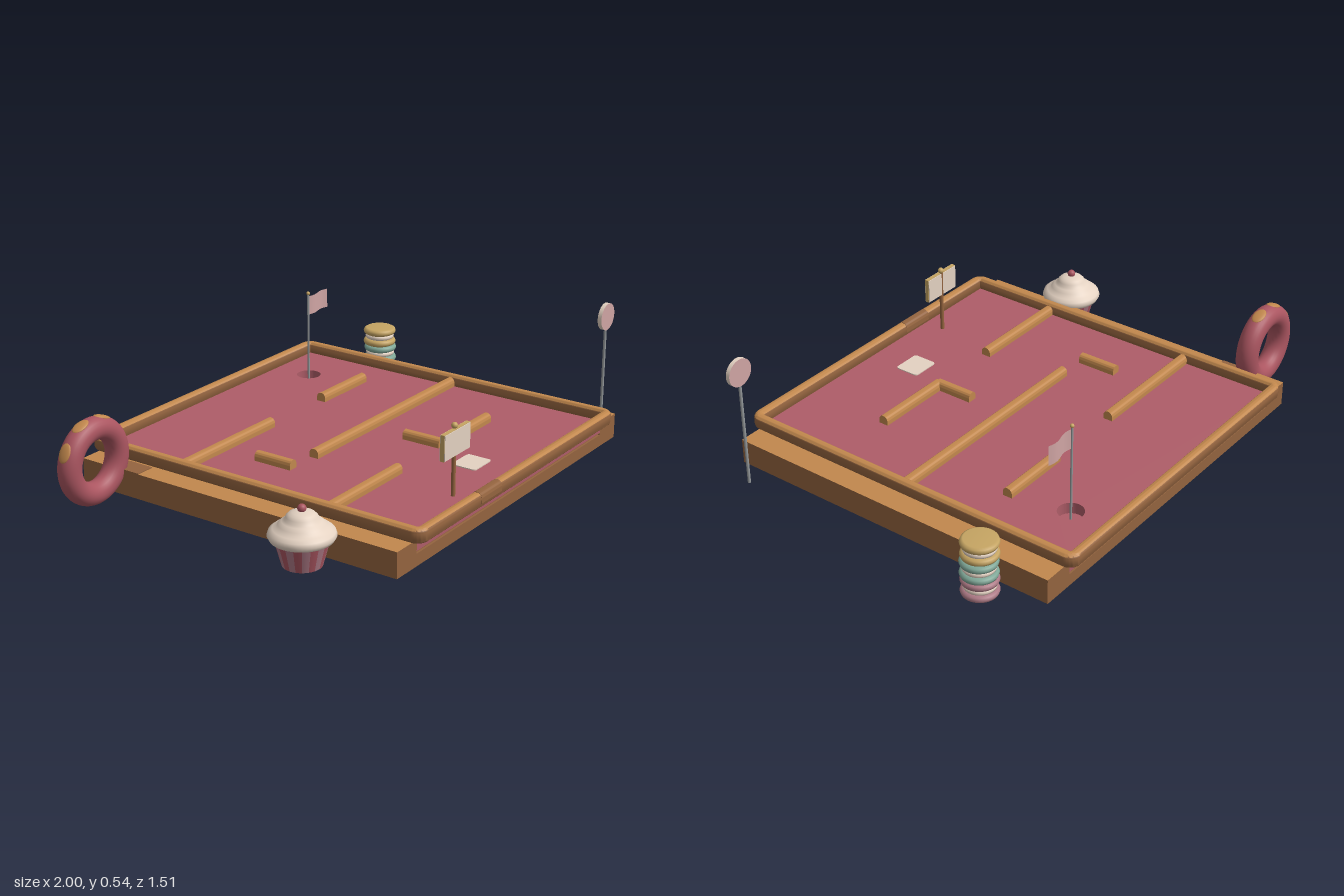
import * as THREE from 'three';
import { toCreasedNormals } from 'three/addons/utils/BufferGeometryUtils.js';

const mat = (name, color, side = THREE.FrontSide) => {
  const m = new THREE.MeshStandardMaterial({ color, side });
  m.name = name;
  return m;
};

// Rounded rectangle outline, centred on the origin
function roundRect(T, hw, hh, r) {
  const s = new T();
  s.moveTo(-hw + r, -hh);
  s.absarc(hw - r, -hh + r, r, -Math.PI / 2, 0);
  s.absarc(hw - r, hh - r, r, 0, Math.PI / 2);
  s.absarc(-hw + r, hh - r, r, Math.PI / 2, Math.PI);
  s.absarc(-hw + r, -hh + r, r, Math.PI, Math.PI * 1.5);
  return s;
}

// Geometry groups: 0 for faces that look up, 1 for the others
function splitByTop(geo, limit) {
  const n = geo.attributes.normal;
  geo.clearGroups();
  for (let i = 0; i < n.count; i += 3) {
    const up = (n.getY(i) + n.getY(i + 1) + n.getY(i + 2)) / 3 > limit ? 0 : 1;
    const last = geo.groups[geo.groups.length - 1];
    if (last && last.materialIndex === up) last.count += 3;
    else geo.addGroup(i, 3, up);
  }
  return geo;
}

export function createModel() {
  const wood = mat('wood', 0xc2884d);
  const darkWood = mat('dark wood', 0x94643f);
  const pink = mat('pink', 0xae5d68);
  const rose = mat('rose', 0xaa5560);
  const mauve = mat('mauve', 0xae7a86);
  const cream = mat('cream', 0xe4d2c2);
  const palePink = mat('pale pink', 0xd0a5a4, THREE.DoubleSide);
  const gold = mat('gold', 0xc6a563);
  const teal = mat('teal', 0x80a898);
  const grey = mat('grey', 0x94989a);

  const model = new THREE.Group();
  const group = (name, x = 0, y = 0, z = 0) => {
    const g = new THREE.Group();
    g.name = name;
    g.position.set(x, y, z);
    model.add(g);
    return g;
  };
  const add = (parent, name, geo, material, x = 0, y = 0, z = 0) => {
    const m = new THREE.Mesh(geo, material);
    m.name = name;
    m.position.set(x, y, z);
    parent.add(m);
    return m;
  };
  // Box given by its limits
  const block = (parent, name, material, x0, x1, y0, y1, z0, z1) =>
    add(parent, name, new THREE.BoxGeometry(x1 - x0, y1 - y0, z1 - z0), material,
      (x0 + x1) / 2, (y0 + y1) / 2, (z0 + z1) / 2);
  const pole = (parent, name, material, r, y0, y1) =>
    add(parent, name, new THREE.CylinderGeometry(r, r, y1 - y0, 20), material, 0, (y0 + y1) / 2, 0);
  const lathe = (pts, seg = 40) =>
    new THREE.LatheGeometry(pts.map(p => new THREE.Vector2(...p)), seg);

  // Hollow base, dark on the sides and light on top
  const base = group('base');
  const L = -0.72, R = 0.85, slotL = -0.6, slotR = 0.725, D = 0.71, t = 0.015;
  const plank = [darkWood, darkWood, wood, darkWood, darkWood, darkWood];
  block(base, 'leftWall', plank, L, L + t, 0.01, 0.11, -D, D);
  block(base, 'rightWall', plank, R - t, R, 0.01, 0.11, -D, D);
  block(base, 'leftLedge', plank, L + t, slotL, 0.095, 0.11, -D, D);
  block(base, 'rightLedge', plank, slotR, R - t, 0.095, 0.11, -D, D);
  for (const [name, z] of [['front', D - t], ['back', -D]]) {
    block(base, name + 'Rail', darkWood, slotL, slotR, 0.01, 0.058, z, z + t);
    block(base, name + 'LeftEnd', darkWood, L + t, slotL, 0.01, 0.095, z, z + t);
    block(base, name + 'RightEnd', darkWood, slotR, R - t, 0.01, 0.095, z, z + t);
  }
  block(base, 'underside', darkWood, slotL, slotR, 0.064, 0.068, -D + 0.002, D - 0.002);
  block(base, 'ledgeInlay', darkWood, L, -0.643, 0.11, 0.113, -0.545, -0.435);

  // Playing floor with a cup cut into it
  const course = group('course');
  const holeX = 0.494, holeZ = -0.55, floorY = 0.12;
  const floor = new THREE.Shape([[slotL, -D], [slotR, -D], [slotR, D], [slotL, D]]
    .map(p => new THREE.Vector2(...p)));
  floor.holes.push(new THREE.Path().absarc(holeX, -holeZ, 0.05, 0, Math.PI * 2, true));
  add(course, 'floor', new THREE.ExtrudeGeometry(floor, { depth: floorY - 0.068, bevelEnabled: false, curveSegments: 32 })
    .rotateX(-Math.PI / 2), pink, 0, 0.068, 0);
  add(course, 'cupBottom', new THREE.CircleGeometry(0.05, 32).rotateX(-Math.PI / 2), pink, holeX, 0.075, holeZ);
  const mat2D = new THREE.ExtrudeGeometry(roundRect(THREE.Shape, 0.06, 0.052, 0.012),
    { depth: 0.004, bevelEnabled: false });
  add(course, 'teeMat', mat2D.rotateX(-Math.PI / 2), cream, 0.062, floorY, 0.52);

  // Rounded rim around the floor, light on top and dark on the sides
  const b = 0.018;
  const rim = roundRect(THREE.Shape, 0.702 - b, 0.753 - b, 0.03);
  rim.holes.push(roundRect(THREE.Path, 0.66 + b, 0.711 + b, 0.02));
  const rimGeo = new THREE.ExtrudeGeometry(rim, {
    depth: 0.058 - 2 * b, bevelSize: b, bevelThickness: b, bevelSegments: 6, curveSegments: 8,
  }).rotateX(-Math.PI / 2);
  add(course, 'rim', splitByTop(toCreasedNormals(rimGeo, 0.7), 0.6), [wood, darkWood], 0.063, 0.107 + b, 0);

  // Barrier logs with rounded tops: centre x, centre z, length, runs along z
  const section = new THREE.Shape();
  section.moveTo(-0.02, 0);
  section.lineTo(0.02, 0);
  section.lineTo(0.02, 0.018);
  section.absarc(0, 0.018, 0.02, 0, Math.PI);
  const log = len => toCreasedNormals(
    new THREE.ExtrudeGeometry(section, { depth: len, bevelEnabled: false, curveSegments: 12 })
      .translate(0, 0, -len / 2), 0.7);
  const logs = [
    [-0.335, -0.318, 0.53], [0.411, -0.318, 0.295], [0.245, 0.012, 0.965], [-0.383, 0.345, 0.43],
    [0.297, 0.345, 0.33], [0.13, 0.262, 0.165, true], [-0.367, -0.07, 0.165, true],
  ];
  for (const [x, z, len, alongZ] of logs)
    add(course, 'barrier', log(len), wood, x, floorY - 0.002, z).rotation.y = alongZ ? 0 : Math.PI / 2;

  // Dark sleeve on the front rim
  const sleeve = add(course, 'rimSleeve', log(0.14), darkWood, -0.18, 0.127, 0.732);
  sleeve.rotation.y = Math.PI / 2;
  sleeve.scale.set(1.08, 1.06, 1);

  // Flag standing in the cup
  const flag = group('flag', holeX, 0, holeZ);
  pole(flag, 'flagPole', grey, 0.0045, 0.075, 0.475);
  add(flag, 'flagTip', new THREE.SphereGeometry(0.008, 16, 12), gold, 0, 0.478, 0);
  const cloth = new THREE.PlaneGeometry(0.13, 0.08, 16, 1).translate(0.069, 0.425, 0);
  const cp = cloth.attributes.position;
  for (let i = 0; i < cp.count; i++) cp.setZ(i, 0.006 * Math.sin(cp.getX(i) * 48));
  cloth.computeVertexNormals();
  add(flag, 'flagCloth', cloth, palePink);

  // Sign board
  const sign = group('sign', -0.235, 0, 0.625);
  pole(sign, 'signPost', darkWood, 0.008, 0.062, 0.38);
  block(sign, 'signBoard', gold, -0.086, 0.086, 0.28, 0.38, -0.004, 0.012);
  for (const [z0, z1] of [[0.012, 0.015], [-0.007, -0.004]])
    block(sign, 'signPanel', cream, -0.084, 0.084, 0.282, 0.378, z0, z1);
  add(sign, 'signKnob', new THREE.SphereGeometry(0.012, 16, 12), gold, 0, 0.39, 0);

  // Lollipop
  const lolly = group('lollipop', 0.925, 0, 0.61);
  pole(lolly, 'lollipopStick', grey, 0.006, 0, 0.44);
  add(lolly, 'lollipopCandy', new THREE.CylinderGeometry(0.055, 0.055, 0.017, 48).rotateX(Math.PI / 2),
    [cream, palePink, palePink], 0, 0.48, 0);

  // Ring doughnut with dough showing along its upper edge
  const donut = group('doughnut', -0.83, 0.175, -0.55);
  add(donut, 'icing', new THREE.TorusGeometry(0.125, 0.045, 24, 64), rose);
  for (const degrees of [71, 111, 152]) {
    const a = degrees * Math.PI / 180;
    const spot = add(donut, 'doughSpot', new THREE.SphereGeometry(1, 20, 14), wood,
      Math.cos(a) * 0.164, Math.sin(a) * 0.164, 0);
    spot.scale.set(0.0085, 0.038, 0.025);
    spot.rotation.z = a;
  }

  // Cupcake: striped pleated wrapper, piped frosting and cherry
  const cake = group('cupcake', -0.8, 0, 0.375);
  const n = 20;
  for (let i = 0; i < n; i++) {
    const pleat = new THREE.CylinderGeometry(0.1, 0.072, 0.105, 2, 1, true, i * 2 * Math.PI / n, 2 * Math.PI / n);
    add(cake, 'wrapperPleat', pleat, i % 2 ? mauve : rose, 0, 0.0575, 0);
  }
  add(cake, 'wrapperBottom', new THREE.CircleGeometry(0.072, n).rotateX(Math.PI / 2), mauve, 0, 0.005, 0);
  add(cake, 'frosting', lathe([
    [0, 0.095], [0.095, 0.095], [0.113, 0.102], [0.121, 0.117], [0.116, 0.132], [0.102, 0.143],
    [0.089, 0.148], [0.083, 0.158], [0.07, 0.169], [0.06, 0.174], [0.056, 0.186], [0.046, 0.196],
    [0.034, 0.201], [0.018, 0.205], [0, 0.206],
  ], 48), cream);
  add(cake, 'cherry', new THREE.SphereGeometry(0.016, 20, 14), rose, 0, 0.214, 0);

  // Stack of sandwich biscuits
  const stack = group('biscuitStack', 0.925, 0, -0.48);
  const disk = (r, h) => lathe([[0, 0], [r - h * 0.45, 0], [r - h * 0.12, h * 0.18], [r, h * 0.5],
    [r - h * 0.12, h * 0.82], [r - h * 0.45, h], [0, h]]);
  [mauve, teal, gold].forEach((colour, i) => {
    const y = i * 0.0765, x = [0, 0.003, -0.002][i];
    add(stack, 'lowerShell', disk(0.07, 0.029), colour, x, y, 0);
    add(stack, 'filling', disk(0.062, 0.024), cream, x, y + 0.027, 0);
    add(stack, 'upperShell', disk(0.07, 0.029), colour, x, y + 0.0475, 0);
  });

  return model;
}
